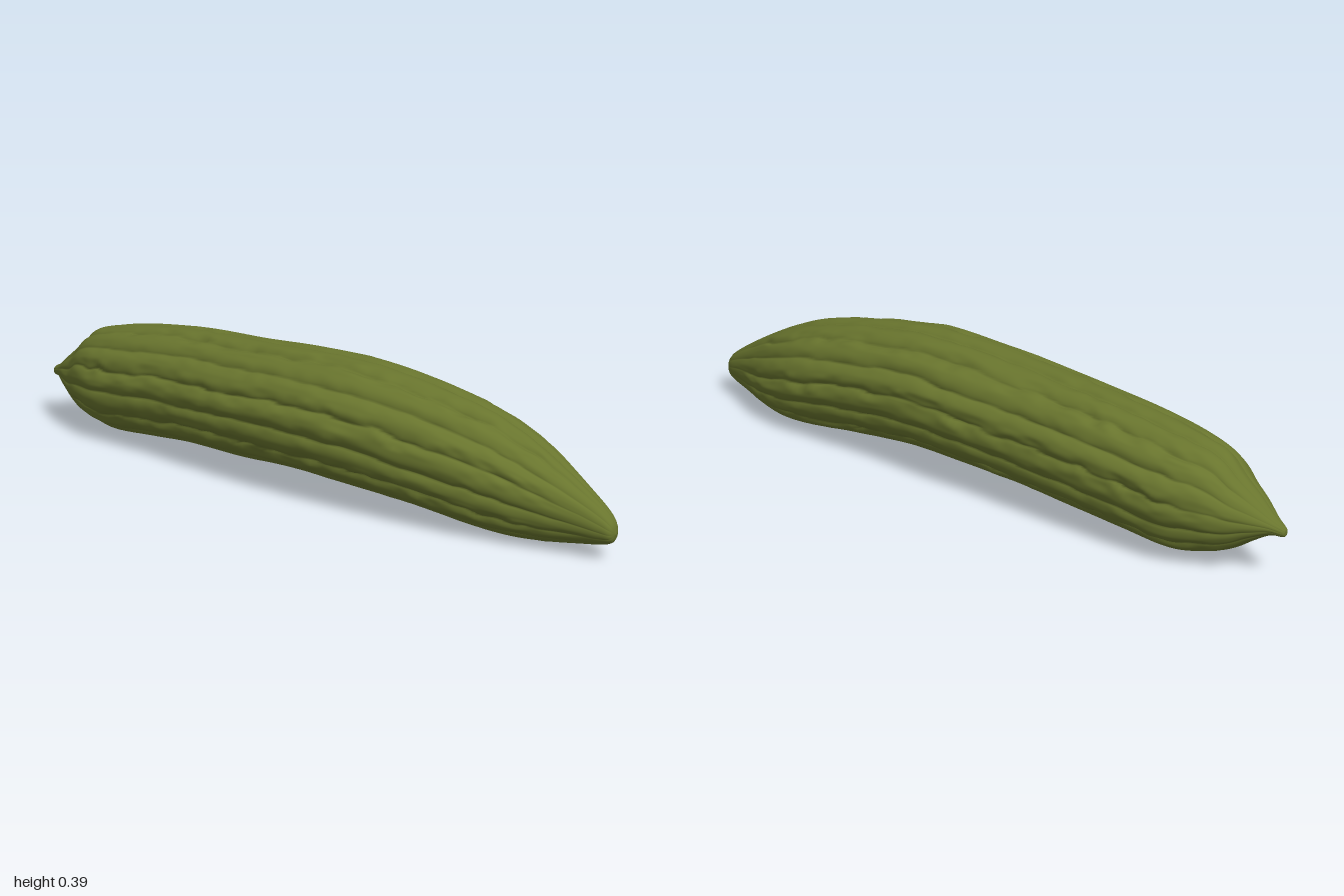
import * as THREE from 'three';

const RIBS = 14, AROUND = 280, ALONG = 200;

// Stations along the fruit: x, bottom, top, back, front
const STATIONS = [
  [-1, 0.145, 0.145, -0.018, -0.018], [-0.995, 0.13, 0.155, -0.03, -0.005],
  [-0.96, 0.125, 0.175, -0.047, 0.015], [-0.91, 0.095, 0.215, -0.08, 0.05],
  [-0.86, 0.06, 0.255, -0.11, 0.078], [-0.8, 0.033, 0.308, -0.143, 0.107],
  [-0.7, 0.015, 0.337, -0.175, 0.135], [-0.55, 0.025, 0.36, -0.183, 0.146],
  [-0.4, 0.036, 0.374, -0.186, 0.153], [-0.2, 0.043, 0.384, -0.185, 0.17],
  [0, 0.05, 0.393, -0.188, 0.181], [0.2, 0.045, 0.396, -0.186, 0.178],
  [0.4, 0.03, 0.372, -0.188, 0.157], [0.58, 0.01, 0.332, -0.186, 0.13],
  [0.7, 0.003, 0.287, -0.165, 0.1], [0.8, 0.012, 0.237, -0.128, 0.07],
  [0.9, 0.03, 0.178, -0.085, 0.038], [0.96, 0.042, 0.138, -0.06, 0.02],
  [0.99, 0.055, 0.11, -0.038, 0.008], [1, 0.08, 0.08, -0.014, -0.014],
];

// Seeded, smoothed noise along one row, from -1 to 1
function noise(row, t) {
  const hash = (n) => {
    const s = Math.sin(n * 127.1 + row * 311.7 + 4.2) * 43758.5453;
    return (s - Math.floor(s)) * 2 - 1;
  };
  const i = Math.floor(t), f = t - i, u = f * f * (3 - 2 * f);
  return hash(i) * (1 - u) + hash(i + 1) * u;
}

// Radius factor: rounded ribs, creased valleys and warts beside the valleys
function ribProfile(theta, x, fade) {
  const p = ((theta + 0.12) / (Math.PI * 2)) * RIBS;
  const valley = Math.round(p);
  const row = ((valley % RIBS) + RIBS) % RIBS;
  const warty = row % 2 === 0 ? 0.5 : 1;
  let d = p - valley;                       // -0.5 .. 0.5 across the valley
  const edge = 1 - 4 * d * d;               // zero on the crest of the rib
  d += edge * fade * (0.06 * noise(row, x * 6) + 0.09 * warty * noise(row + 20, x * 26));
  const crest = Math.pow(Math.abs(Math.sin(Math.PI * d)), 0.65);
  const depth = 0.085 + 0.03 * noise(row + 40, x * 20) * warty;
  const side = d > 0 ? 60 : 80;
  const wart = 0.022 * warty * noise(row + side, x * 24) * Math.pow(Math.sin(2 * Math.PI * d), 2);
  const rib = Math.floor(p) % RIBS;
  const swell = 0.012 * noise(rib + 100, x * 5) * crest * crest;
  return 1 - depth * (1 - crest) * (0.4 + 0.6 * fade) + (wart + swell) * fade;
}

function fruitGeometry() {
  const curve = (a, b) => new THREE.CatmullRomCurve3(
    STATIONS.map((s) => new THREE.Vector3(s[0], s[a], s[b])), false, 'catmullrom', 0.5);
  const heights = curve(1, 2), widths = curve(3, 4);
  const positions = [], index = [];
  for (let i = 0; i <= ALONG; i++) {
    const h = heights.getPoint(i / ALONG), w = widths.getPoint(i / ALONG);
    const x = THREE.MathUtils.clamp(h.x, -1, 1);
    const fade = THREE.MathUtils.smoothstep(1 - Math.abs(x), 0.02, 0.25);
    for (let j = 0; j < AROUND; j++) {
      const theta = (j / AROUND) * Math.PI * 2;
      const r = ribProfile(theta, x, fade);
      positions.push(x,
        (h.y + h.z) / 2 + (h.z - h.y) / 2 * r * Math.cos(theta),
        (w.y + w.z) / 2 + (w.z - w.y) / 2 * r * Math.sin(theta));
      if (i < ALONG) {
        const a = i * AROUND + j, b = i * AROUND + (j + 1) % AROUND;
        index.push(a, b, a + AROUND, b, b + AROUND, a + AROUND);
      }
    }
  }
  const geometry = new THREE.BufferGeometry();
  geometry.setAttribute('position', new THREE.Float32BufferAttribute(positions, 3));
  geometry.setIndex(index);
  geometry.computeVertexNormals();
  return geometry;
}

export function createModel() {
  const skin = new THREE.MeshStandardMaterial({ color: 0x69752e });
  skin.name = 'olive green skin';
  const fruit = new THREE.Mesh(fruitGeometry(), skin);
  fruit.name = 'ribbedGourd';
  const group = new THREE.Group();
  group.name = 'bitterGourd';
  group.add(fruit);
  return group;
}
